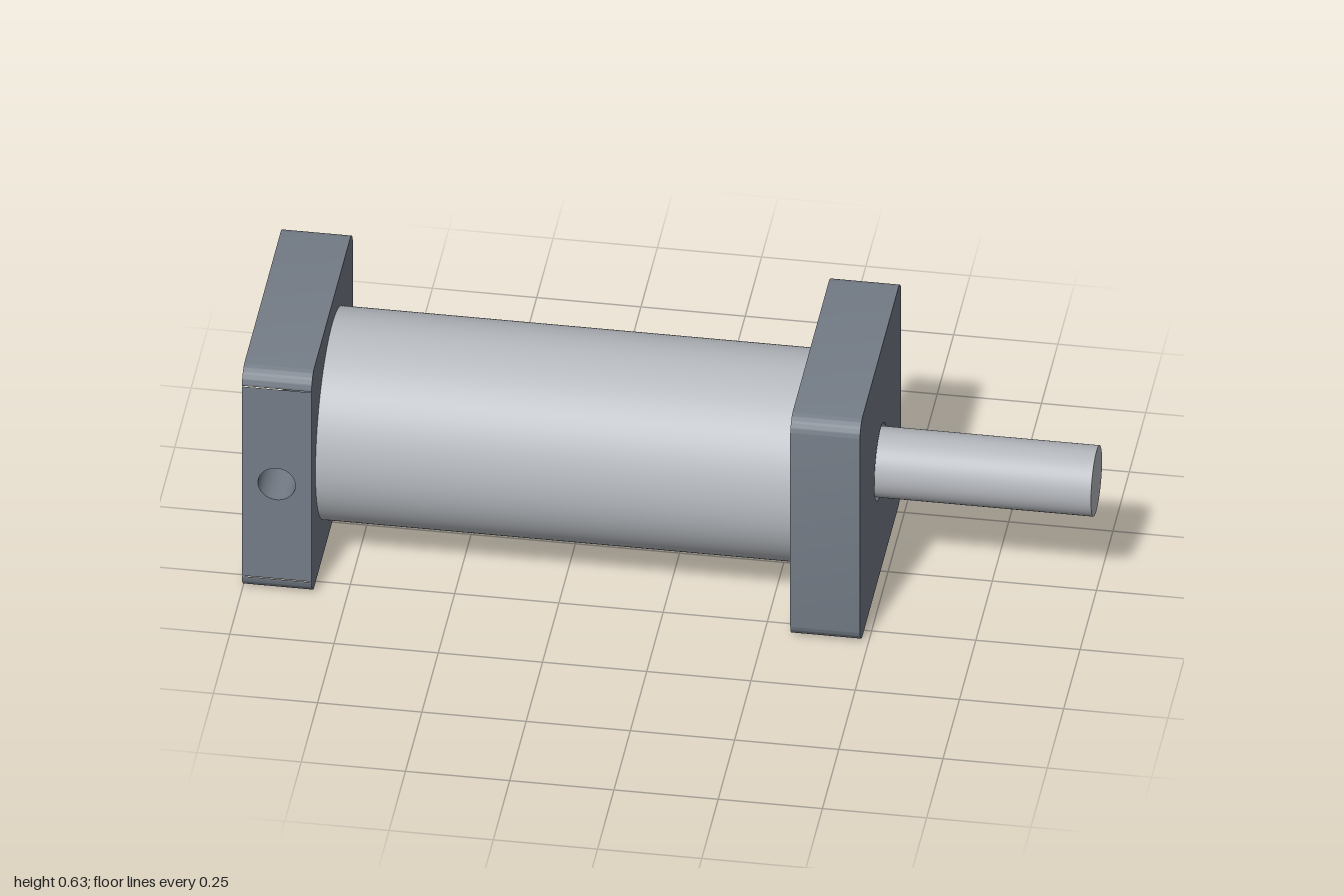
import * as THREE from 'three';
import { toCreasedNormals } from 'three/addons/utils/BufferGeometryUtils.js';

const H = 0.315;      // half size of the square caps, also the axis height
const R = 0.043;      // cap corner radius
const CAP = 0.167;    // cap thickness

const mat = (name, color, side = THREE.FrontSide) => {
  const m = new THREE.MeshStandardMaterial({ color, side });
  m.name = name;
  return m;
};

function circlePath(r) {
  return new THREE.Path().absarc(0, 0, r, 0, Math.PI * 2, true);
}

// Rounded square extruded along x, with an optional round bore
function capGeometry(boreRadius) {
  const s = new THREE.Shape();
  const c = H - R;
  [[c, c], [-c, c], [-c, -c], [c, -c]].forEach(([x, y], i) =>
    s.absarc(x, y, R, i * Math.PI / 2, (i + 1) * Math.PI / 2, false));
  s.closePath();
  if (boreRadius) s.holes.push(circlePath(boreRadius));
  const g = new THREE.ExtrudeGeometry(s, { depth: CAP, bevelEnabled: false, curveSegments: 16 });
  g.translate(0, 0, -CAP / 2).rotateY(Math.PI / 2);
  return toCreasedNormals(g, 0.5);
}

// Removes the two flat faces that look along z
function withoutFlatSides(g) {
  const p = g.attributes.position;
  const kept = [], normals = [];
  const tri = new THREE.Triangle(), n = new THREE.Vector3();
  for (let i = 0; i < p.count; i += 3) {
    tri.setFromAttributeAndIndices(p, i, i + 1, i + 2).getNormal(n);
    if (Math.abs(n.z) > 0.9995) continue;
    for (let k = i; k < i + 3; k++) {
      kept.push(p.getX(k), p.getY(k), p.getZ(k));
      normals.push(g.attributes.normal.getX(k), g.attributes.normal.getY(k), g.attributes.normal.getZ(k));
    }
  }
  const out = new THREE.BufferGeometry();
  out.setAttribute('position', new THREE.Float32BufferAttribute(kept, 3));
  out.setAttribute('normal', new THREE.Float32BufferAttribute(normals, 3));
  return out;
}

// Cylinder lying along x between two positions
function rodGeometry(r, x0, x1) {
  return new THREE.CylinderGeometry(r, r, x1 - x0, 64)
    .rotateZ(-Math.PI / 2).translate((x0 + x1) / 2, 0, 0);
}

export function createModel() {
  const capGrey = mat('cap grey', 0x747c86);
  const boreGrey = capGrey;
  const barrelMetal = mat('barrel aluminium', 0xb6babf, THREE.DoubleSide);
  const rodMetal = mat('rod steel', 0xb4b7bc);
  const brass = mat('piston brass', 0xc4a25a);

  const group = new THREE.Group();
  group.name = 'pneumaticCylinder';
  const add = (parent, name, geometry, material) => {
    const m = new THREE.Mesh(geometry, material);
    m.name = name;
    parent.add(m);
    return m;
  };

  // Rear cap with a pin hole running through it along z
  const rearCap = new THREE.Group();
  rearCap.name = 'rearCap';
  rearCap.position.x = -1 + CAP / 2;
  group.add(rearCap);
  add(rearCap, 'rearCapBody', withoutFlatSides(capGeometry(0)), capGrey);
  const pinRadius = 0.045, w = CAP / 2, h = H - R;
  const side = new THREE.Shape([[-w, -h], [w, -h], [w, h], [-w, h]].map(([x, y]) => new THREE.Vector2(x, y)));
  side.holes.push(circlePath(pinRadius));
  for (const turn of [0, Math.PI]) {
    const face = new THREE.ShapeGeometry(side, 24).translate(0, 0, H).rotateY(turn);
    add(rearCap, turn ? 'rearCapBackFace' : 'rearCapFrontFace', face, capGrey);
  }
  // Lathe profile drawn downward so that its wall faces the hole axis
  const pinWall = new THREE.LatheGeometry(
    [new THREE.Vector2(pinRadius, H), new THREE.Vector2(pinRadius, -H)], 48).rotateX(Math.PI / 2);
  add(rearCap, 'pinHole', pinWall, boreGrey);

  // Front cap with a clearance bore around the rod
  add(group, 'frontCap', capGeometry(0.094), capGrey).position.x = 0.315 + CAP / 2;

  // Hollow barrel between the caps
  const barrel = new THREE.Shape().absarc(0, 0, 0.255, 0, Math.PI * 2, false);
  barrel.holes.push(circlePath(0.22));
  const barrelGeometry = new THREE.ExtrudeGeometry(barrel,
    { depth: 1.148, bevelEnabled: false, curveSegments: 64 })
    .rotateY(Math.PI / 2).translate(-0.833, 0, 0);
  add(group, 'barrel', toCreasedNormals(barrelGeometry, 0.5), barrelMetal);

  // Piston inside the barrel and its rod
  add(group, 'piston', rodGeometry(0.219, 0.0, 0.15), brass);
  add(group, 'pistonRod', rodGeometry(0.085, 0.15, 1), rodMetal);

  group.children.forEach((part) => { part.position.y = H; });
  return group;
}
